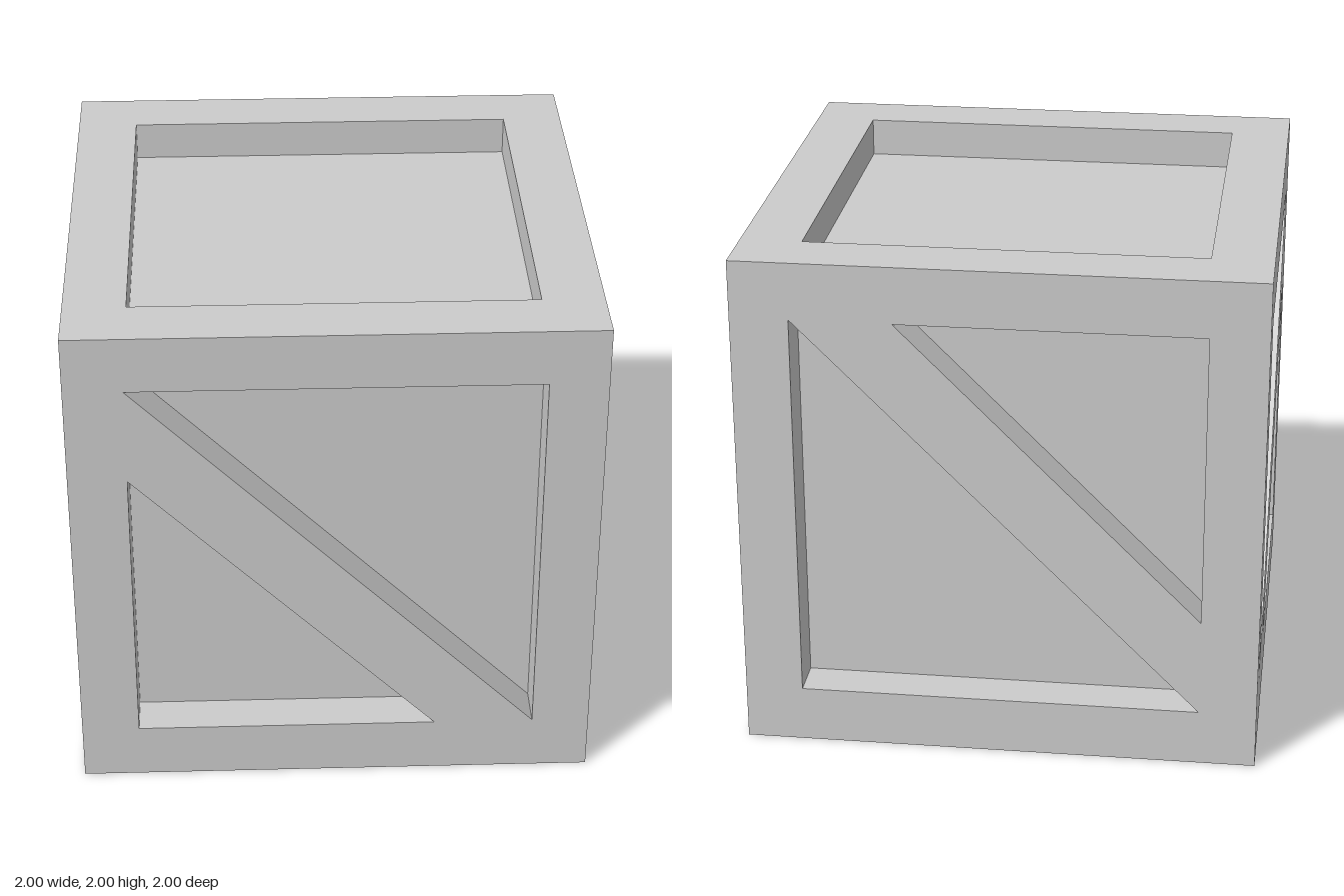
import * as THREE from 'three';

// Recess depth of each pair of faces
const FRONT_DEPTH = 0.167, SIDE_DEPTH = 0.225, TOP_DEPTH = 0.15;

// Flat slab with polygon openings; outer face at local z = 1, thickness runs inward
function frameGeometry(halfW, halfH, depth, openings) {
  const shape = new THREE.Shape([
    [-halfW, -halfH], [halfW, -halfH], [halfW, halfH], [-halfW, halfH],
  ].map(([x, y]) => new THREE.Vector2(x, y)));
  for (const points of openings) {
    shape.holes.push(new THREE.Path(points.map(([x, y]) => new THREE.Vector2(x, y))));
  }
  const geometry = new THREE.ExtrudeGeometry(shape, { depth, bevelEnabled: false });
  return geometry.translate(0, 0, 1 - depth);
}

export function createModel() {
  const crate = new THREE.Group();
  crate.name = 'crate';
  const grey = new THREE.MeshStandardMaterial({ color: 0xcccccc });
  grey.name = 'light grey';

  const body = new THREE.Group();
  body.name = 'crateBody';
  body.position.y = 1;
  crate.add(body);

  const add = (name, geometry, rx = 0, ry = 0) => {
    const mesh = new THREE.Mesh(geometry, grey);
    mesh.name = name;
    mesh.rotation.set(rx, ry, 0);
    body.add(mesh);
  };

  // Inner box whose faces are the recessed panels
  add('innerPanels', new THREE.BoxGeometry(
    2 - 2 * SIDE_DEPTH, 2 - 2 * TOP_DEPTH, 2 - 2 * FRONT_DEPTH));

  // Front and back: brace falling from top left to bottom right
  const f = 0.777, fs = 0.388;
  const front = frameGeometry(1, 1, FRONT_DEPTH, [
    [[-f, f], [f, f], [f, -f]],
    [[-f, f - fs], [f - fs, -f], [-f, -f]],
  ]);
  add('frontFrame', front);
  add('backFrame', front, Math.PI);

  // Sides: brace rising from bottom left to top right
  const s = 0.764, ss = 0.38, innerZ = 1 - FRONT_DEPTH;
  const side = frameGeometry(innerZ, 1, SIDE_DEPTH, [
    [[-s, s], [s, s], [-s, -s]],
    [[s, s - ss], [s, -s], [ss - s, -s]],
  ]);
  add('leftFrame', side, 0, Math.PI / 2);
  add('rightFrame', side, 0, -Math.PI / 2);

  // Top and bottom: plain square openings
  const lid = frameGeometry(1 - SIDE_DEPTH, innerZ, TOP_DEPTH, [
    [[-s, s], [s, s], [s, -s], [-s, -s]],
  ]);
  add('topFrame', lid, -Math.PI / 2);
  add('bottomFrame', lid, Math.PI / 2);

  return crate;
}
